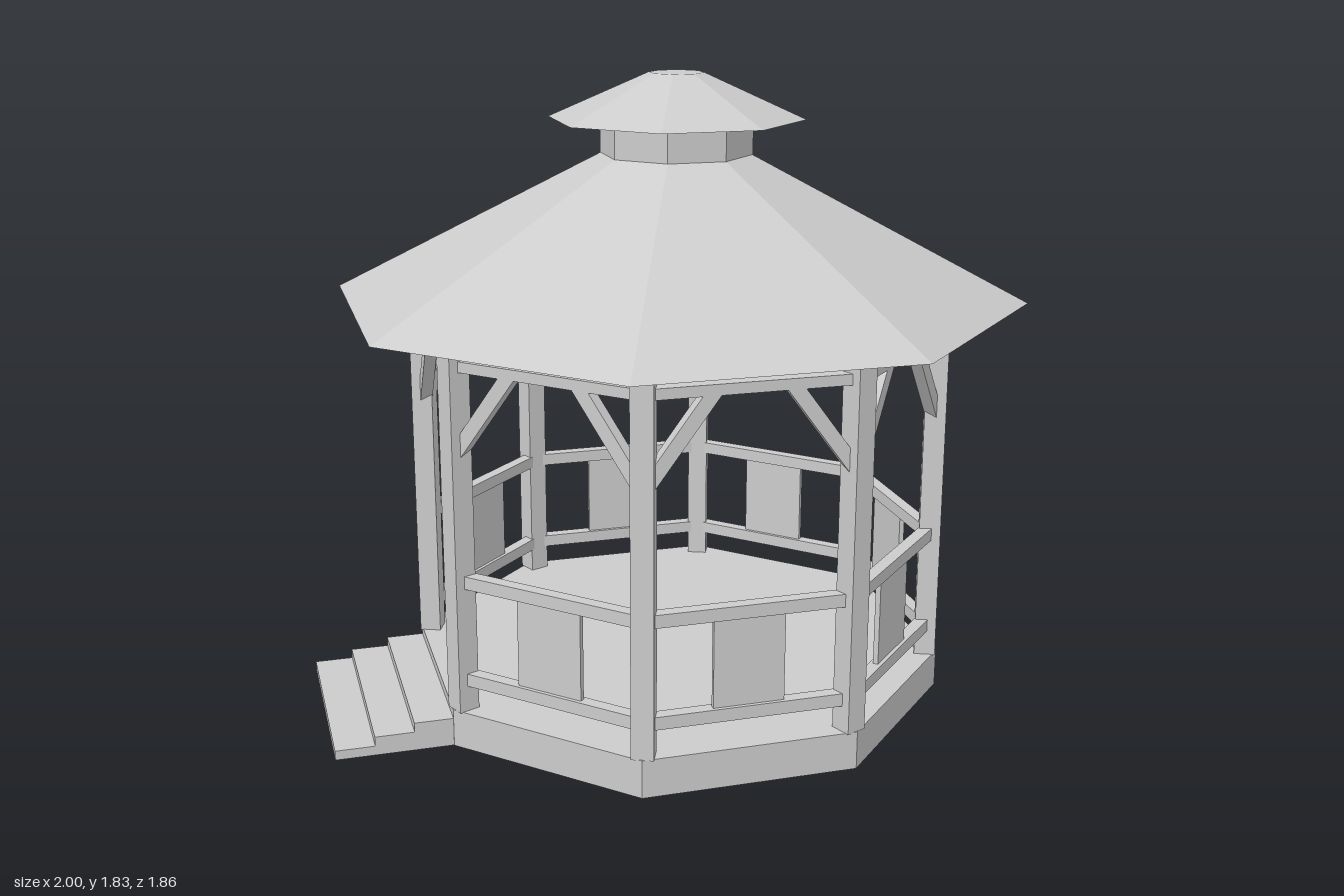
import * as THREE from 'three';

const SIDES = 8;
const STEP = (Math.PI * 2) / SIDES;
const CENTRE_X = 0.067;   // pavilion centre, shifted because the stairs stick out on -x
const STAIR_SIDE = 6;     // side index facing -x

const material = new THREE.MeshStandardMaterial({ color: 0xcccccc, flatShading: true });

function addMesh(parent, name, geometry, x = 0, y = 0, z = 0) {
  const mesh = new THREE.Mesh(geometry, material);
  mesh.name = name;
  mesh.position.set(x, y, z);
  parent.add(mesh);
  return mesh;
}

// Eight-sided frustum with flat sides facing the axes; sizes are centre-to-side distances
function octagon(parent, name, bottom, top, y0, y1) {
  const k = 1 / Math.cos(STEP / 2);
  const geometry = new THREE.CylinderGeometry(top * k, bottom * k, y1 - y0, SIDES);
  geometry.rotateY(STEP / 2);
  return addMesh(parent, name, geometry, 0, (y0 + y1) / 2, 0);
}

// Slanted brace with one upright end at the post and one level end under the beam
function braceGeometry(side) {
  const points = [[0.268, 0.848], [0.268, 0.915], [0.135, 1.095], [0.085, 1.095]];
  const shape = new THREE.Shape(points.map(([x, y]) => new THREE.Vector2(x * side, y)));
  const depth = 0.035;
  return new THREE.ExtrudeGeometry(shape, { depth, bevelEnabled: false }).translate(0, 0, -depth / 2);
}

export function createModel() {
  const model = new THREE.Group();
  model.name = 'gazebo';
  const pavilion = new THREE.Group();
  pavilion.name = 'pavilion';
  pavilion.position.x = CENTRE_X;
  model.add(pavilion);

  // Floor and stacked roof
  octagon(pavilion, 'floorBase', 0.735, 0.735, 0, 0.11);
  octagon(pavilion, 'mainRoof', 0.93, 0.2, 1.192, 1.602);
  octagon(pavilion, 'cupola', 0.202, 0.202, 1.602, 1.702);
  octagon(pavilion, 'cupolaRoof', 0.34, 0.073, 1.702, 1.83);

  // Shared geometries for the repeated side parts
  const post = new THREE.BoxGeometry(0.062, 1.085, 0.062);
  const rail = new THREE.BoxGeometry(0.58, 0.037, 0.037);
  const beam = new THREE.BoxGeometry(0.58, 0.03, 0.037);
  const panel = new THREE.BoxGeometry(0.2, 0.26, 0.015);
  const braces = [braceGeometry(-1), braceGeometry(1)];
  const sideDistance = 0.7;

  for (let i = 0; i < SIDES; i++) {
    // Corner post
    const corner = new THREE.Group();
    corner.name = 'corner';
    corner.rotation.y = (i + 0.5) * STEP;
    addMesh(corner, 'post', post, 0, 0.651, 0.76);
    pavilion.add(corner);

    // Beam and braces on every side, railing on all but the entrance
    const bay = new THREE.Group();
    bay.name = i === STAIR_SIDE ? 'entranceBay' : 'railingBay';
    bay.rotation.y = i * STEP;
    addMesh(bay, 'beam', beam, 0, 1.105, sideDistance);
    braces.forEach((g) => addMesh(bay, 'brace', g, 0, 0, sideDistance));
    if (i !== STAIR_SIDE) {
      addMesh(bay, 'topRail', rail, 0, 0.493, sideDistance);
      addMesh(bay, 'bottomRail', rail, 0, 0.203, sideDistance);
      addMesh(bay, 'panel', panel, 0, 0.348, sideDistance);
    }
    pavilion.add(bay);
  }

  // Stairs rising towards the entrance
  const stairs = new THREE.Group();
  stairs.name = 'stairs';
  const tread = 0.111, rise = 0.0275;
  for (let i = 0; i < 3; i++) {
    const height = rise * (i + 1);
    addMesh(stairs, 'step', new THREE.BoxGeometry(tread, height, 0.605), -1 + tread * (i + 0.5), height / 2, 0);
  }
  model.add(stairs);

  return model;
}
